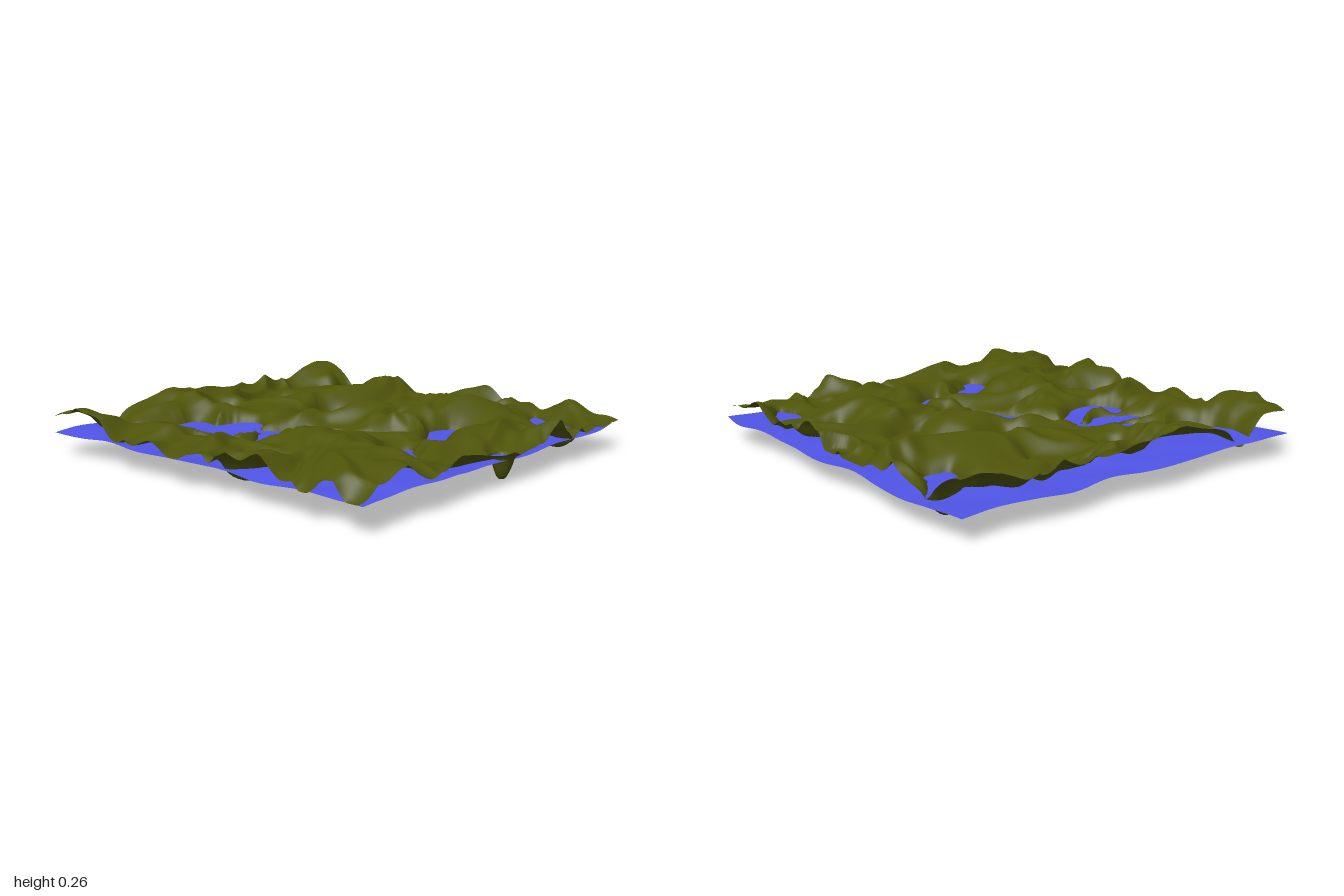
import * as THREE from 'three';

const { lerp, clamp, smoothstep } = THREE.MathUtils;
const WATER = 0.103;

// Lakes and rivers: half width, then x, z along the middle
const lakes = [
  [0.07, -0.68, -0.97, -0.73, -0.72, -0.58, -0.63, -0.42, -0.63],
  [0.11, -0.4, -0.61, -0.45, -0.47, -0.25, -0.36],
  [0.055, -0.29, -0.3, -0.5, -0.28, -0.62, -0.37],
  [0.055, -0.27, -0.2, -0.5, -0.08, -0.61, -0.17],
  [0.065, -0.3, -0.25, -0.17, -0.1, -0.05, 0.12, 0.02, 0.34],
  [0.045, -0.11, -0.68, -0.09, -0.69],
  [0.065, 0.11, -0.25, 0.28, -0.26],
  [0.07, 0.72, -0.5, 0.79, -0.63, 0.9, -0.7],
  [0.055, -0.87, 0.18, -0.71, 0.27],
  [0.055, -0.37, 0.74, -0.31, 0.61, -0.19, 0.55],
  [0.06, -0.05, 0.58, 0.22, 0.46, 0.31, 0.53],
  [0.045, 0.71, 0.32, 0.75, 0.32],
  [0.055, 0.73, 0.86, 0.76, 0.71, 0.82, 0.59],
  [0.055, 0.05, 0.91, 0.09, 0.91],
].map(([width, ...xz]) => {
  const points = [];
  for (let k = 0; k < xz.length; k += 2) points.push(new THREE.Vector2(xz[k], xz[k + 1]));
  return { width, path: new THREE.SplineCurve(points).getPoints(12) };
});

// Hilltops: x, z
const hills = [[-0.97, -0.67], [0.92, -0.92], [0.9, 0.75], [0.57, 0.35], [0.28, 0.75], [-0.45, 0.2], [-0.25, -0.85]];

// Seeded smooth value noise, -1 to 1
function hash(i, j) {
  let h = Math.imul(i, 374761393) + Math.imul(j, 668265263);
  h = Math.imul(h ^ (h >>> 13), 1274126177);
  return ((h ^ (h >>> 16)) >>> 0) / 2147483648 - 1;
}

function noise(x, z) {
  const i = Math.floor(x), j = Math.floor(z);
  const u = smoothstep(x - i, 0, 1), v = smoothstep(z - j, 0, 1);
  return lerp(lerp(hash(i, j), hash(i + 1, j), u), lerp(hash(i, j + 1), hash(i + 1, j + 1), u), v);
}

// Distance to the nearest shore, and how deep in a lake the point lies (0 to 1)
function shore(x, z) {
  let distance = Infinity, inside = 0;
  for (const { width, path } of lakes) {
    for (let k = 0; k + 1 < path.length; k++) {
      const a = path[k], dx = path[k + 1].x - a.x, dz = path[k + 1].y - a.y;
      const t = clamp(((x - a.x) * dx + (z - a.y) * dz) / (dx * dx + dz * dz), 0, 1);
      const taper = Math.sin(Math.PI * (k + t) / (path.length - 1));
      const r = width * (0.6 + 0.4 * taper);
      const d = Math.hypot(x - a.x - dx * t, z - a.y - dz * t);
      distance = Math.min(distance, d - r);
      inside = Math.max(inside, (1 - (d / r) ** 2) * (0.4 + 0.6 * taper));
    }
  }
  return [distance, inside];
}

function landHeight(x, z) {
  // Slight warping makes the shorelines irregular and the ridges curl
  const [d, inside] = shore(x + 0.025 * noise(x * 9, z * 9), z + 0.025 * noise(x * 9 + 40, z * 9));
  // Lake beds deepen towards the east
  if (d <= 0) return Math.max(0, WATER - inside * lerp(0.06, 0.108, smoothstep(x, -0.4, 0.05)));
  const px = x + 0.16 * noise(x * 3 + 9, z * 3), pz = z + 0.16 * noise(x * 3, z * 3 + 21);
  let rise = 0.075 + 0.06 * noise(px * 4, pz * 5.5) + 0.03 * noise(px * 8 + 5, pz * 10 + 3);
  rise += 0.03 * (0.6 - 2 * Math.abs(noise(px * 5 + 31, pz * 7 + 17)));
  for (const [hx, hz] of hills) rise += 0.075 * Math.exp(-((x - hx) ** 2 + (z - hz) ** 2) / 0.018);
  return WATER + 0.19 * Math.tanh(Math.max(rise, 0.015) / 0.17) * (1 - Math.exp(-d / 0.05));
}

// Smooth sheet whose points are moved by a rule
function sheet(name, cx, cz, segments, color, rule) {
  const geometry = new THREE.PlaneGeometry(1.93, 1.93, segments, segments).rotateX(-Math.PI / 2).translate(cx, 0, cz);
  const p = geometry.attributes.position;
  for (let i = 0; i < p.count; i++) p.setXYZ(i, ...rule(p.getX(i), p.getZ(i)));
  geometry.computeVertexNormals();
  const mesh = new THREE.Mesh(geometry, new THREE.MeshStandardMaterial({ color, side: THREE.DoubleSide }));
  mesh.name = name;
  return mesh;
}

export function createModel() {
  const group = new THREE.Group();
  group.name = 'terrain';

  // Hilly ground with lake beds
  group.add(sheet('land', -0.035, 0.035, 180, 0x4f540a, (x, z) => [x, landHeight(x, z), z]));

  // Gently rippled water with wavy borders
  group.add(sheet('water', 0.02, -0.02, 80, 0x5055e8, (x, z) => [
    x + 0.015 * Math.sin(z * 9 + 1) * Math.abs(x),
    WATER + 0.01 * noise(x * 5, z * 5),
    z + 0.015 * Math.sin(x * 10) * Math.abs(z),
  ]));
  return group;
}
